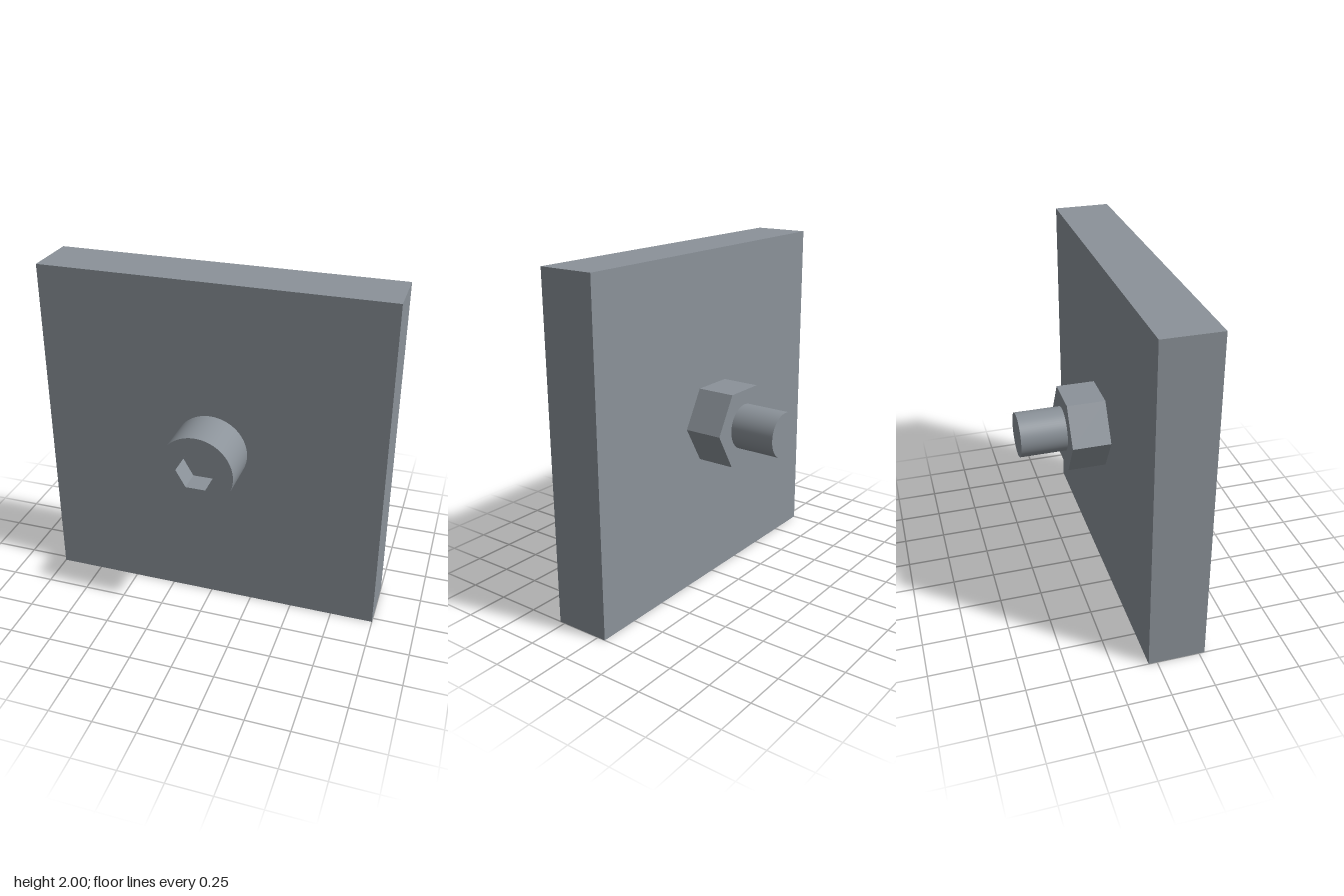
import * as THREE from 'three';
import { toCreasedNormals } from 'three/addons/utils/BufferGeometryUtils.js';

// Blue-grey steel
const material = new THREE.MeshStandardMaterial({ color: 0x8b9299 });

// Regular hexagon with corners on the x axis
function hexPoints(radius) {
  return Array.from({ length: 6 }, (_, i) => {
    const a = (i * Math.PI) / 3;
    return new THREE.Vector2(radius * Math.cos(a), radius * Math.sin(a));
  });
}

// Prism of a shape running from z0 to z1
function prism(shape, z0, z1) {
  const geometry = new THREE.ExtrudeGeometry(shape, {
    depth: z1 - z0, bevelEnabled: false, curveSegments: 64,
  }).translate(0, 0, z0);
  return toCreasedNormals(geometry, Math.PI / 6);
}

export function createModel() {
  const model = new THREE.Group();
  model.name = 'boltedPlate';
  const bolt = new THREE.Group();
  bolt.name = 'bolt';
  bolt.position.y = 1;
  model.add(bolt);

  const add = (parent, name, geometry) => {
    const mesh = new THREE.Mesh(geometry, material);
    mesh.name = name;
    parent.add(mesh);
    return mesh;
  };

  const plateFront = 0.283, plateBack = -0.05;
  const tip = 0.55, nutBack = -0.277, socketFloor = 0.42;

  // Square plate
  const plate = add(model, 'plate', new THREE.BoxGeometry(2, 2, plateFront - plateBack));
  plate.position.set(0, 1, (plateFront + plateBack) / 2);

  // Round head with a hexagonal socket
  const headShape = new THREE.Shape().absarc(0, 0, 0.217, 0, Math.PI * 2);
  headShape.holes.push(new THREE.Path(hexPoints(0.115)));
  add(bolt, 'boltHead', prism(headShape, plateFront, tip));
  add(bolt, 'socketFloor', new THREE.ShapeGeometry(new THREE.Shape(hexPoints(0.115))))
    .position.z = socketFloor;

  // Shank passing through the plate and nut
  const shankLength = plateFront + tip;
  const shank = new THREE.CylinderGeometry(0.132, 0.132, shankLength, 64).rotateX(Math.PI / 2);
  add(bolt, 'shank', shank).position.z = (plateFront - tip) / 2;

  // Hexagonal nut on the back
  const nutShape = new THREE.Shape(hexPoints(0.25));
  nutShape.holes.push(new THREE.Path().absarc(0, 0, 0.132, 0, Math.PI * 2));
  add(bolt, 'nut', prism(nutShape, nutBack, plateBack));

  return model;
}
